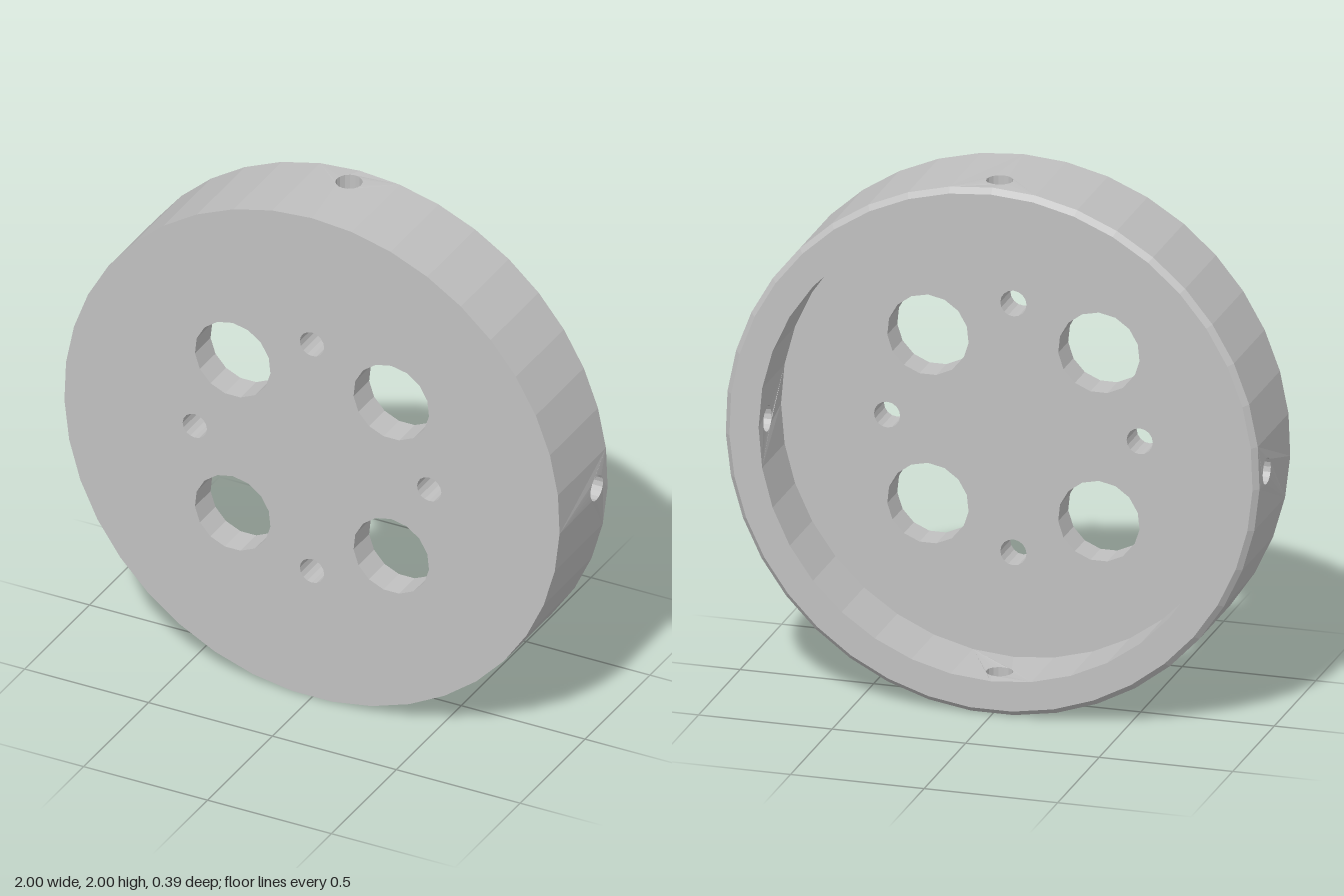
import * as THREE from 'three';
import { mergeGeometries } from 'three/addons/utils/BufferGeometryUtils.js';

const OUTER = 1, INNER = 0.87, CHAMFER = 0.02;
const FRONT = 0.195, BACK = -0.195, FLOOR = 0.075;
const OUTER_SIDES = 39, INNER_SIDES = 36;
const SIDE_HOLE = { r: 0.049, z: -0.09, sides: 16 };
const SIDE_ANGLES = [0, 1, 2, 3].map(k => Math.PI / 2 - k * Math.PI / 2);

// Regular polygon, counter-clockwise, first corner at the top
function ring(r, n, cx = 0, cy = 0) {
  return Array.from({ length: n }, (_, i) => {
    const a = Math.PI / 2 + i / n * Math.PI * 2;
    return new THREE.Vector2(cx + r * Math.cos(a), cy + r * Math.sin(a));
  });
}

const at = (loop, z) => loop.map(p => new THREE.Vector3(p.x, p.y, z));

// Flat face with holes, facing +z or (flipped) -z
function face(outline, holes, z, flip = false) {
  const shape = new THREE.Shape(outline);
  shape.holes = holes.map(h => new THREE.Path(h));
  const g = new THREE.ShapeGeometry(shape);
  if (flip) g.index.array.reverse();
  g.translate(0, 0, z);
  return finish(g);
}

function finish(g) {
  const out = g.index ? g.toNonIndexed() : g;
  out.deleteAttribute('uv');
  out.computeVertexNormals();
  return out;
}

// Band of quads joining two closed loops of equal length
function band(a, b) {
  const pts = [];
  a.forEach((p, i) => {
    const j = (i + 1) % a.length;
    pts.push(p, a[j], b[j], p, b[j], b[i]);
  });
  return finish(new THREE.BufferGeometry().setFromPoints(pts));
}

// Edge of a side hole as (angle, z) points on a cylinder of radius R
function sideHole(c, R) {
  return ring(SIDE_HOLE.r, SIDE_HOLE.sides).map(p =>
    new THREE.Vector2(c + Math.asin(p.x / R), SIDE_HOLE.z + p.y));
}

const wrap = (p, R) => new THREE.Vector3(R * Math.cos(p.x), R * Math.sin(p.x), p.y);

// Faceted cylinder wall; the facets around each side hole become one pierced patch
function wall(R, n, z0, z1, flip) {
  const step = Math.PI * 2 / n, half = Math.asin(SIDE_HOLE.r / R) + 0.004;
  const top = Math.PI / 2, used = new Set(), parts = [];
  const patch = (first, last, hole) => {
    const pts = [];
    for (let k = first; k <= last; k++) pts.push(new THREE.Vector2(top + k * step, z0));
    for (let k = last; k >= first; k--) pts.push(new THREE.Vector2(top + k * step, z1));
    const shape = new THREE.Shape(pts);
    if (hole) shape.holes.push(new THREE.Path(hole));
    const g = new THREE.ShapeGeometry(shape);
    if (flip) g.index.array.reverse();
    const pos = g.attributes.position;
    for (let i = 0; i < pos.count; i++) {
      const v = wrap({ x: pos.getX(i), y: pos.getY(i) }, R);
      pos.setXYZ(i, v.x, v.y, v.z);
    }
    parts.push(finish(g));
  };
  for (const c of SIDE_ANGLES) {
    const first = Math.floor((c - half - top) / step);
    const last = Math.ceil((c + half - top) / step);
    for (let k = first; k < last; k++) used.add((k + n) % n);
    patch(first, last, sideHole(c, R));
  }
  for (let k = 0; k < n; k++) if (!used.has(k)) patch(k, k + 1);
  return mergeGeometries(parts);
}

export function createModel() {
  const model = new THREE.Group();
  model.name = 'hubDisc';
  const metal = new THREE.MeshStandardMaterial({ color: 0xc0c0c0 });
  metal.name = 'plainGrey';
  const add = (name, geometry) => {
    const m = new THREE.Mesh(geometry, metal);
    m.name = name;
    m.position.y = OUTER * Math.cos(Math.PI / OUTER_SIDES);
    model.add(m);
  };

  // Four large and four small holes through the plate
  const holes = [];
  for (const sx of [-1, 1]) {
    for (const sy of [-1, 1]) holes.push(ring(0.153, 15, sx * 0.32, sy * 0.32));
    holes.push(ring(0.049, 16, sx * 0.473, 0), ring(0.049, 16, 0, sx * 0.473));
  }
  const outer = ring(OUTER, OUTER_SIDES);
  const rimEdge = ring(OUTER - CHAMFER, OUTER_SIDES);
  const inner = ring(INNER, INNER_SIDES);

  // Plate
  add('frontFace', face(outer, holes, FRONT));
  add('recessFloor', face(inner, holes, FLOOR, true));
  add('plateHoles', mergeGeometries(holes.map(h => band(at(h, FRONT), at(h, FLOOR)))));

  // Rim
  add('outerWall', wall(OUTER, OUTER_SIDES, BACK + CHAMFER, FRONT, false));
  add('innerWall', wall(INNER, INNER_SIDES, BACK, FLOOR, true));
  add('rimFace', face(rimEdge, [inner], BACK, true));
  add('rimChamfer', band(at(rimEdge, BACK), at(outer, BACK + CHAMFER)));

  // Radial holes through the rim
  add('sideHoles', mergeGeometries(SIDE_ANGLES.map(c => band(
    sideHole(c, OUTER).map(p => wrap(p, OUTER)),
    sideHole(c, INNER).map(p => wrap(p, INNER))))));
  return model;
}
